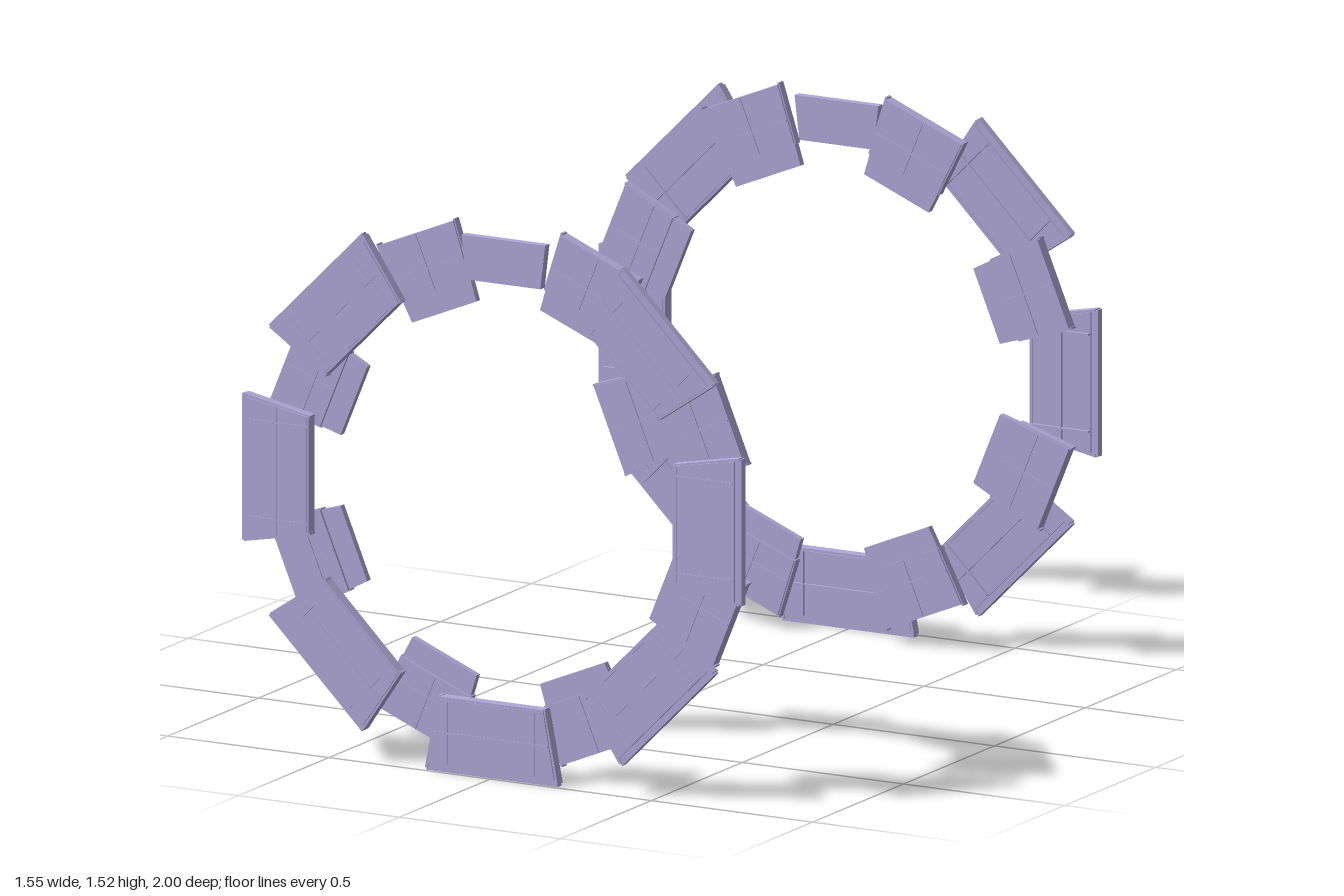
import * as THREE from 'three';

const material = new THREE.MeshStandardMaterial({ color: 0xb0a8d8, flatShading: true });
const CENTER_Y = 0.775;

function mesh(name, geometry) {
  const m = new THREE.Mesh(geometry, material);
  m.name = name;
  return m;
}

// Trapezoid slab between two radii (+y points away from the ring centre).
function slab(name, r0, half0, r1, half1, z0, z1) {
  const s = new THREE.Shape([
    new THREE.Vector2(-half0, r0), new THREE.Vector2(half0, r0),
    new THREE.Vector2(half1, r1), new THREE.Vector2(-half1, r1),
  ]);
  const g = new THREE.ExtrudeGeometry(s, { depth: z1 - z0, bevelEnabled: false });
  return mesh(name, g.translate(0, 0, z0));
}

// Thin straight bar from (x0, y0) to (x1, y1).
function bar(name, x0, y0, x1, y1, width, z0, z1) {
  const g = new THREE.BoxGeometry(Math.hypot(x1 - x0, y1 - y0), width, z1 - z0);
  g.rotateZ(Math.atan2(y1 - y0, x1 - x0));
  return mesh(name, g.translate((x0 + x1) / 2, (y0 + y1) / 2, (z0 + z1) / 2));
}

// Large framed panel of the outer layer.
function largePanel() {
  const p = new THREE.Group();
  p.name = 'largePanel';
  p.add(slab('panelBody', 0.565, 0.162, 0.755, 0.196, 0.964, 0.998));
  p.add(slab('outerLip', 0.755, 0.2, 0.775, 0.204, 0.969, 0.991));
  for (const s of [-1, 1]) {
    p.add(bar('sideRail', s * 0.162, 0.563, s * 0.202, 0.768, 0.008, 0.966, 0.994));
    p.add(bar('crossRib', s * 0.135, 0.57, s * 0.135, 0.752, 0.005, 0.955, 1));
  }
  p.add(bar('middleRib', -0.178, 0.665, 0.178, 0.665, 0.005, 0.957, 1));
  p.add(bar('innerRib', -0.16, 0.574, 0.16, 0.574, 0.005, 0.96, 1));
  return p;
}

// Small panel of the inner layer, with a thin tongue towards the centre.
function smallPanel() {
  const p = new THREE.Group();
  p.name = 'smallPanel';
  p.add(slab('panelBody', 0.58, 0.115, 0.745, 0.128, 0.875, 0.909));
  p.add(slab('innerTongue', 0.518, 0.108, 0.58, 0.114, 0.881, 0.901));
  for (const s of [-1, 1])
    p.add(bar('sideRail', s * 0.115, 0.578, s * 0.129, 0.75, 0.006, 0.88, 0.904));
  p.add(bar('middleRib', -0.119, 0.645, 0.119, 0.645, 0.005, 0.872, 0.912));
  p.add(bar('crossRib', 0, 0.582, 0, 0.743, 0.005, 0.872, 0.912));
  return p;
}

function ring() {
  const g = new THREE.Group();
  g.name = 'ring';
  for (let i = 0; i < 8; i++) {
    // the top position holds the plain plate instead of a large panel
    if (i > 0) {
      const large = largePanel();
      large.rotation.z = i * Math.PI / 4;
      g.add(large);
    }
    const small = smallPanel();
    small.rotation.z = (i + 0.5) * Math.PI / 4;
    g.add(small);
  }
  g.add(slab('topPlate', 0.585, 0.115, 0.708, 0.13, 0.904, 0.928));
  g.position.y = CENTER_Y;
  return g;
}

export function createModel() {
  const model = new THREE.Group();
  model.name = 'twinRings';
  const front = ring();
  front.name = 'frontRing';
  const back = ring();
  back.name = 'backRing';
  back.rotation.y = Math.PI;
  model.add(front, back);
  return model;
}
